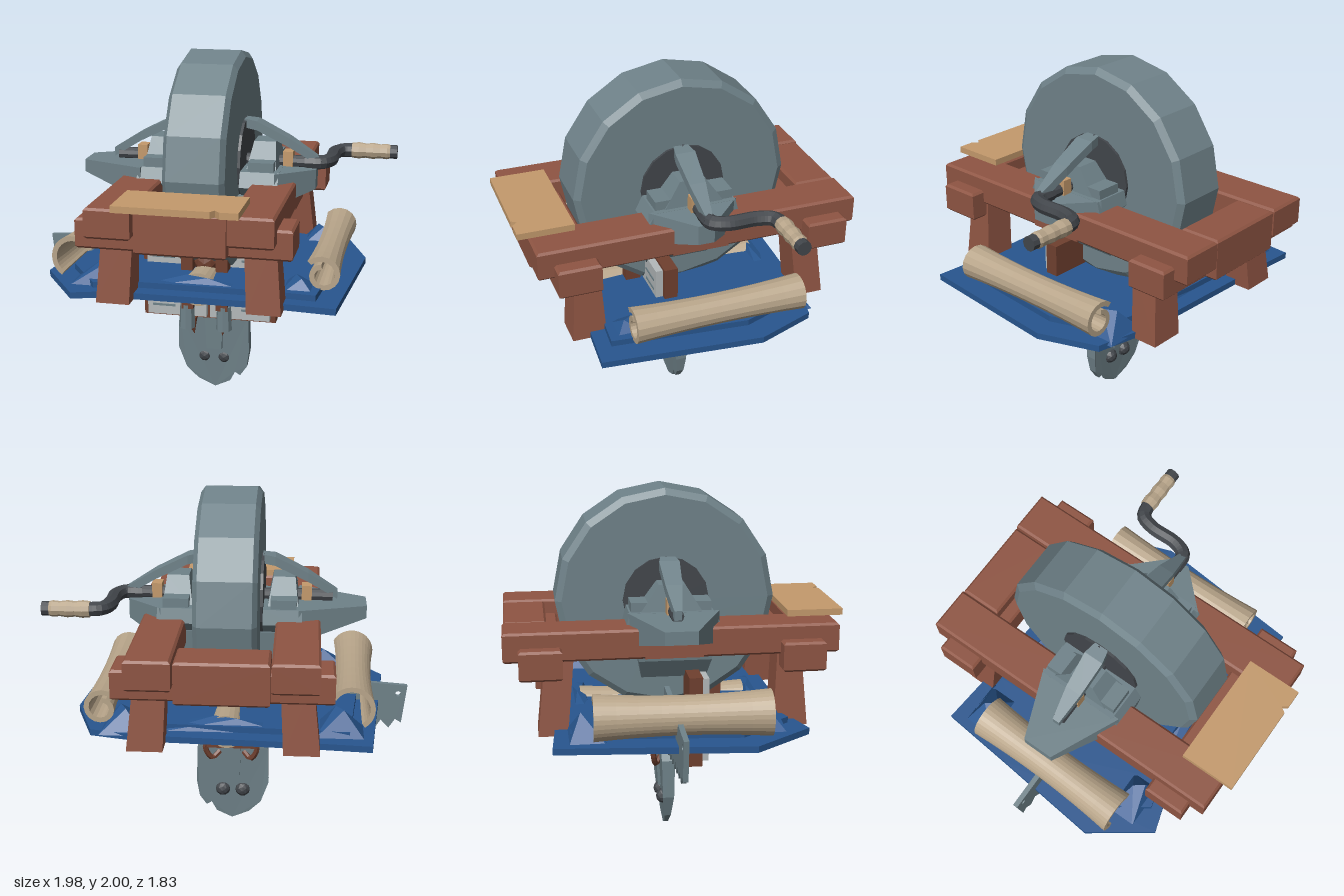
import * as THREE from 'three';
import { ConvexGeometry } from 'three/addons/geometries/ConvexGeometry.js';

const mat = (name, color, side = THREE.FrontSide) => {
  const m = new THREE.MeshStandardMaterial({ color, side });
  m.name = name;
  return m;
};

export function createModel() {
  const steel = mat('steel', 0x6f8289), wood = mat('red wood', 0x8f5543), blue = mat('blue cloth', 0x28568f);
  const paper = mat('parchment', 0xb8a58a), tan = mat('pale wood', 0xc49a6c), dark = mat('dark iron', 0x42464b);
  const pageMat = mat('pages', 0xb4b9ba), leather = mat('brown leather', 0x70402f);
  const root = new THREE.Group();

  // Faceted mesh
  const add = (name, geo, material, pos = [0, 0, 0], rot = [0, 0, 0]) => {
    const g = geo.index ? geo.toNonIndexed() : geo;
    g.computeVertexNormals();
    const m = new THREE.Mesh(g, material);
    m.name = name;
    m.position.set(...pos);
    m.rotation.set(...rot);
    root.add(m);
    return m;
  };
  // Box given by its limits
  const box = (name, material, x0, x1, y0, y1, z0, z1, rot) =>
    add(name, new THREE.BoxGeometry(x1 - x0, y1 - y0, z1 - z0), material,
      [(x0 + x1) / 2, (y0 + y1) / 2, (z0 + z1) / 2], rot);
  // Solid hull around rectangles: y slices [y, x0, x1, z0, z1] or x slices [x, y0, y1, z0, z1]
  const hull = (name, material, axis, slices) => {
    const pts = [];
    for (const [p, a0, a1, z0, z1] of slices)
      for (const a of [a0, a1]) for (const z of [z0, z1])
        pts.push(axis === 'x' ? new THREE.Vector3(p, a, z) : new THREE.Vector3(a, p, z));
    return add(name, new ConvexGeometry(pts), material);
  };
  // Timber with chamfered edges
  const beam = (name, x0, x1, y0, y1, z0, z1, c = 0.012) => hull(name, wood, 'y', [
    [y0, x0 + c, x1 - c, z0 + c, z1 - c], [y0 + c, x0, x1, z0, z1],
    [y1 - c, x0, x1, z0, z1], [y1, x0 + c, x1 - c, z0 + c, z1 - c]]);
  const shape = pts => new THREE.Shape(pts.map(p => new THREE.Vector2(...p)));
  const extrude = (s, depth, steps = 1) => new THREE.ExtrudeGeometry(s, { depth, steps, bevelEnabled: false, curveSegments: 8 });
  const tube = (name, material, pts, r, seg = 24, sides = 8) =>
    add(name, new THREE.TubeGeometry(new THREE.CatmullRomCurve3(pts.map(p => new THREE.Vector3(...p)), false, 'centripetal'), seg, r, sides), material);

  // Grinding wheel with a dark hub in each face
  const wheelProfile = [[0.23, -0.165], [0.565, -0.165], [0.6, -0.14], [0.6, 0.14], [0.565, 0.165], [0.23, 0.165], [0.23, -0.165]];
  add('grindingWheel', new THREE.LatheGeometry(wheelProfile.map(p => new THREE.Vector2(...p)), 16), steel, [0, 1.4, -0.03], [0, 0, Math.PI / 2]);
  add('wheelHub', new THREE.CylinderGeometry(0.235, 0.235, 0.36, 16), dark, [0, 1.4, -0.03], [0, 0, Math.PI / 2]);

  // Table frame; each rail is notched for the axle mount
  for (const [x0, x1] of [[-0.49, -0.25], [0.24, 0.475]]) {
    beam('railFront', x0, x1, 1.16, 1.32, 0.11, 0.855);
    beam('railBack', x0, x1, 1.16, 1.32, -0.915, -0.16);
    box('railNotch', wood, x0, x1, 1.16, 1.235, -0.18, 0.13);
  }
  beam('frontBoard', -0.235, 0.235, 1.09, 1.315, 0.62, 0.845);
  beam('backBoard', -0.245, 0.23, 1.09, 1.315, -0.91, -0.68);
  beam('frontCrossBeam', -0.565, 0.555, 1.08, 1.24, 0.54, 0.77);
  beam('backCrossBeam', -0.565, 0.555, 1.08, 1.24, -0.835, -0.61);
  for (const s of [-1, 1]) {
    const xs = (a, b) => (s < 0 ? [-b, -a] : [a, b]);
    hull('frontLeg', wood, 'y', [[0.76, ...xs(0.31, 0.49), 0.51, 0.695], [1.17, ...xs(0.29, 0.455), 0.53, 0.66]]);
    hull('backLeg', wood, 'y', [[0.76, ...xs(0.31, 0.5), -0.745, -0.59], [1.17, ...xs(0.29, 0.455), -0.7, -0.55]]);
  }

  // Loose plank with a chipped front edge
  add('plank', extrude(shape([[-0.33, -0.915], [0.17, -0.915], [0.19, -0.885], [0.215, -0.915], [0.31, -0.915], [0.31, -0.61], [-0.33, -0.61]]), 0.035),
    tan, [0, 1.322, 0], [-Math.PI / 2, 0, 0]);

  // Axle mount: body below the table, cheeks, horns and fins
  hull('mountBody', steel, 'y', [[0.97, -0.2, 0.2, -0.17, 0.19], [1.08, -0.27, 0.27, -0.19, 0.21], [1.24, -0.29, 0.29, -0.21, 0.23]]);
  for (const s of [-1, 1]) {
    const xs = (a, b) => (s < 0 ? [-b, -a] : [a, b]);
    hull('cheek', steel, 'y', [[1.2, ...xs(0.18, 0.37), -0.15, 0.11], [1.3, ...xs(0.18, 0.39), -0.27, 0.24], [1.38, ...xs(0.18, 0.39), -0.25, 0.2]]);
    hull('bearing', steel, 'y', [[1.36, ...xs(0.2, 0.37), -0.2, 0.15], [1.43, ...xs(0.22, 0.36), -0.14, 0.1], [1.52, ...xs(0.23, 0.35), -0.09, 0.05]]);
    for (const z of [-0.18, 0.13]) box('cheekBlock', steel, ...xs(0.22, 0.36), 1.36, 1.43, z - 0.06, z + 0.06);
    const tip = s < 0 ? 0.74 : 0.57;
    hull('horn', steel, 'x', [[s * 0.37, 1.2, 1.38, -0.26, 0.23],
      [s * tip, s < 0 ? 1.3 : 1.26, 1.37, s < 0 ? -0.11 : -0.06, s < 0 ? 0.06 : 0.03]]);
    // Fin arching from the hub down to the horn
    const fin = [[0.17, 1.62, 0.04], [0.24, 1.61, 0.055], [0.42, 1.52, 0.045], [0.58, 1.42, 0.02]];
    for (let i = 0; i < 3; i++)
      hull('fin', steel, 'x', [fin[i], fin[i + 1]].map(([x, y, w]) => [s * x, y - 0.035, y + 0.015, -0.02 - w, -0.02 + w]));
    box('axlePin', tan, ...xs(0.385, 0.44), 1.37, 1.46, -0.06, 0.02);
  }

  // Crank and its wrapped handle
  add('axle', new THREE.CylinderGeometry(0.035, 0.035, 1.15, 10), dark, [0.02, 1.4, -0.02], [0, 0, Math.PI / 2]);
  tube('crank', dark, [[0.5, 1.4, -0.02], [0.6, 1.4, -0.03], [0.635, 1.4, -0.1], [0.64, 1.4, -0.26], [0.67, 1.4, -0.34], [0.74, 1.4, -0.36]], 0.04);
  const grip = [[0, 0], [0.043, 0], [0.047, 0.04], [0.041, 0.08], [0.046, 0.12], [0.04, 0.16], [0.044, 0.2], [0.038, 0.22], [0, 0.22]];
  add('handleWrap', new THREE.LatheGeometry(grip.map(p => new THREE.Vector2(...p)).reverse(), 10).scale(1, -1, 1).translate(0, 0, 0),
    paper, [0.73, 1.4, -0.36], [0, 0, Math.PI / 2]);
  add('handleEnd', new THREE.CylinderGeometry(0.039, 0.039, 0.06, 10), dark, [0.957, 1.4, -0.36], [0, 0, Math.PI / 2]);

  // Cloth: a flat sheet, a smaller layer, and raised folds
  const sheet = [[-0.64, -0.67], [-0.45, -0.61], [0.48, -0.6], [0.76, -0.62], [0.84, 0.24], [0.72, 0.56], [0.45, 0.62], [-0.5, 0.66], [-0.77, 0.68], [-0.81, 0.25], [-0.87, -0.35]];
  add('cloth', extrude(shape(sheet), 0.035), blue, [0, 0.76, 0], [-Math.PI / 2, 0, 0]);
  add('clothLayer', extrude(shape(sheet.map(([x, y]) => [x * 0.85, y * 0.86])), 0.035), blue, [0, 0.793, 0], [-Math.PI / 2, 0, 0]);
  const fold = (x, z, w, d, y, px = x, pz = z) => add('clothFold', new ConvexGeometry([
    [x - w, 0.78, z - d], [x + w, 0.78, z - d], [x + w, 0.78, z + d], [x - w, 0.78, z + d],
    [px - w * 0.15, y, pz - d * 0.3], [px + w * 0.15, y, pz + d * 0.3]].map(p => new THREE.Vector3(...p))), blue);
  fold(-0.56, 0.46, 0.14, 0.09, 0.92, -0.5);
  fold(0.54, 0.4, 0.12, 0.12, 0.88);
  fold(-0.6, -0.5, 0.14, 0.1, 0.93);
  fold(0.55, -0.48, 0.12, 0.12, 0.9);
  fold(0, 0.46, 0.4, 0.06, 0.86);
  fold(0, -0.5, 0.4, 0.06, 0.86);

  // Rolled sheets, narrower at the waist: a spiral band swept along z
  const scroll = (x, y, r, a0, a1, curl, z0, z1) => {
    const outer = [], inner = [], n = 18, t = 0.028;
    for (let i = 0; i <= n; i++) {
      const a = a0 + (a1 - a0) * i / n, q = r - curl * i / n;
      outer.push([q * Math.cos(a), q * Math.sin(a)]);
      inner.unshift([(q - t) * Math.cos(a), (q - t) * Math.sin(a)]);
    }
    const g = extrude(shape([...outer, ...inner]), z1 - z0, 8), p = g.attributes.position;
    for (let i = 0; i < p.count; i++) {
      const u = 2 * p.getZ(i) / (z1 - z0) - 1, k = 0.84 + 0.16 * u * u;
      p.setXY(i, p.getX(i) * k, p.getY(i) * k);
    }
    return add('scroll', g, paper, [x, y, z0]);
  };
  scroll(-0.665, 0.91, 0.125, 0.5, 4.1, 0, -0.47, 0.45).rotation.y = -0.03;
  scroll(0.665, 0.9, 0.11, 2.4, -4.6, 0.05, -0.52, 0.42);
  scroll(0, 0.77, 0.1, 0, 5.2, 0.01, -0.5, 0.43);

  // Saw with a toothed lower edge and a hole in its nose
  const saw = [[-0.25, 0.93], [-0.5, 0.92], [-0.99, 0.885], [-0.965, 0.66]];
  for (let i = 0; i < 8; i++) saw.push([-0.93 + i * 0.08, 0.68 - i * 0.006], [-0.895 + i * 0.08, 0.625 - i * 0.006]);
  saw.push([-0.25, 0.62]);
  const sawShape = shape(saw);
  sawShape.holes.push(new THREE.Path().absarc(-0.94, 0.835, 0.016, 0, Math.PI * 2, true));
  add('saw', extrude(sawShape, 0.028), steel, [0, 0, -0.05]);

  // Open book with ruled pages
  for (const s of [-1, 1]) {
    const xs = (a, b) => (s < 0 ? [-b, -a] : [a, b]);
    box('bookCover', leather, ...xs(0, 0.38), 0.5, 1.01, 0.07, 0.145);
    box('bookPages', pageMat, ...xs(0.01, 0.35), 0.52, 0.995, 0.14, 0.185);
    for (let i = 0; i < 7; i++) box('pageLine', steel, ...xs(0.19, 0.32), 0.57 + i * 0.058, 0.582 + i * 0.058, 0.184, 0.189);
    // Chisel in front of the page
    box('chiselHandle', leather, ...xs(0.065, 0.13), 0.6, 1.02, 0.2, 0.285);
    add('chiselFerrule', new THREE.CylinderGeometry(0.04, 0.045, 0.14, 8), steel, [s * 0.105, 0.55, 0.25]);
    add('chiselTip', new THREE.ConeGeometry(0.04, 0.1, 6), leather, [s * 0.09, 0.46, 0.18], [Math.PI, 0, s * 0.2]);
    // Brown cord ends
    tube('cordHook', leather, [[s * 0.1, 0.6, -0.1], [s * 0.15, 0.5, -0.1], [s * 0.11, 0.42, -0.08], [s * 0.07, 0.45, -0.05]], 0.016, 12, 6);
    add('rivet', new THREE.IcosahedronGeometry(0.045, 1), dark, [s * 0.058 - 0.005, 0.2, -0.03]);
  }

  // Curved carrying handle under the cloth
  const arc = [];
  for (let i = 0; i <= 10; i++) arc.push([0.51 * Math.cos(Math.PI * i / 10), 0.715, 0.13 - 0.28 * Math.sin(Math.PI * i / 10)]);
  tube('carryHandle', leather, arc, 0.032, 30);

  // Trowel: rounded blade with a tapering tip, ridge, collar and grip
  const blade = [[-0.21, 0.47], [-0.215, 0.25], [-0.17, 0.12], [-0.1, 0.05], [0, 0.005], [0.09, 0.05], [0.12, 0.11], [0.15, 0.09], [0.19, 0.15], [0.205, 0.25], [0.2, 0.47], [0.14, 0.56], [-0.14, 0.56]];
  const bladeGeo = extrude(shape(blade), 0.075), bp = bladeGeo.attributes.position;
  for (let i = 0; i < bp.count; i++) bp.setZ(i, (bp.getZ(i) - 0.0375) * Math.min(1, 0.15 + bp.getY(i) * 2.8));
  add('trowelBlade', bladeGeo, steel, [0, 0, -0.02]);
  hull('trowelRidge', steel, 'y', [[0.26, -0.045, 0.045, -0.06, 0.03], [0.52, -0.055, 0.055, -0.075, 0.04]]);
  add('trowelCollar', new THREE.CylinderGeometry(0.1, 0.13, 0.2, 10), steel, [0, 0.64, -0.04]);
  box('trowelGrip', leather, -0.14, 0.14, 0.5, 0.62, -0.12, 0.08);
  add('trowelKnob', new THREE.IcosahedronGeometry(0.07, 1), leather, [0, 0.87, 0.22]);
  box('peg', tan, -0.16, 0.12, 0.7, 0.76, -0.2, -0.08);

  return root;
}
